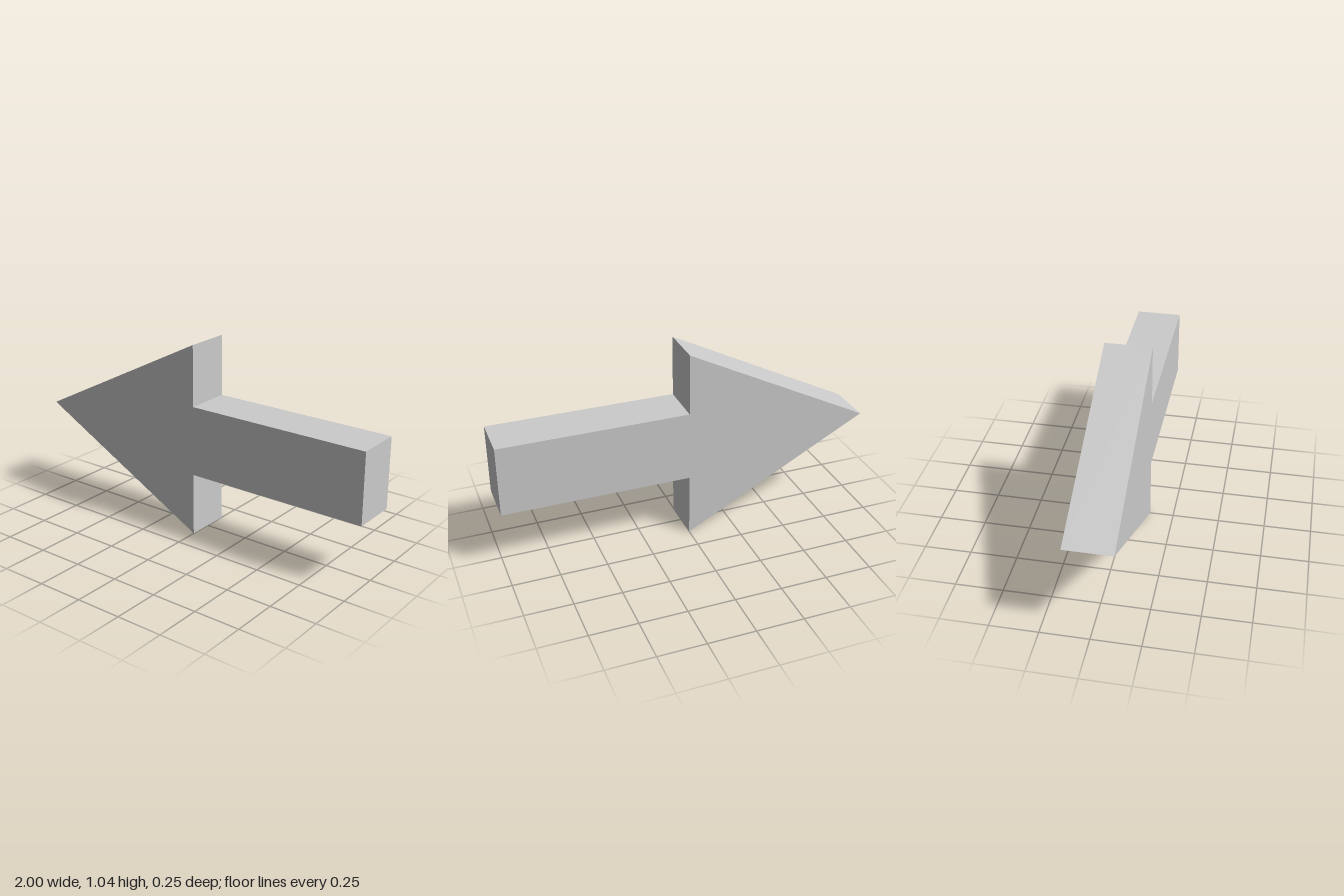
import * as THREE from 'three';

const DEPTH = 0.246;

export function createModel() {
  const group = new THREE.Group();
  group.name = 'arrow';

  // Arrow outline: tip, lower barb, shaft, upper barb
  const outline = new THREE.Shape([
    [-1, 0.535], [0, 0], [0, 0.34], [1, 0.34],
    [1, 0.717], [0, 0.717], [0, 1.045],
  ].map(([x, y]) => new THREE.Vector2(x, y)));

  // Solid slab, centred on z = 0
  const geometry = new THREE.ExtrudeGeometry(outline, { depth: DEPTH, bevelEnabled: false });
  geometry.translate(0, 0, -DEPTH / 2);

  const arrow = new THREE.Mesh(
    geometry,
    new THREE.MeshStandardMaterial({ color: 0xcccccc, flatShading: true }),
  );
  arrow.name = 'arrowBody';
  group.add(arrow);
  return group;
}
